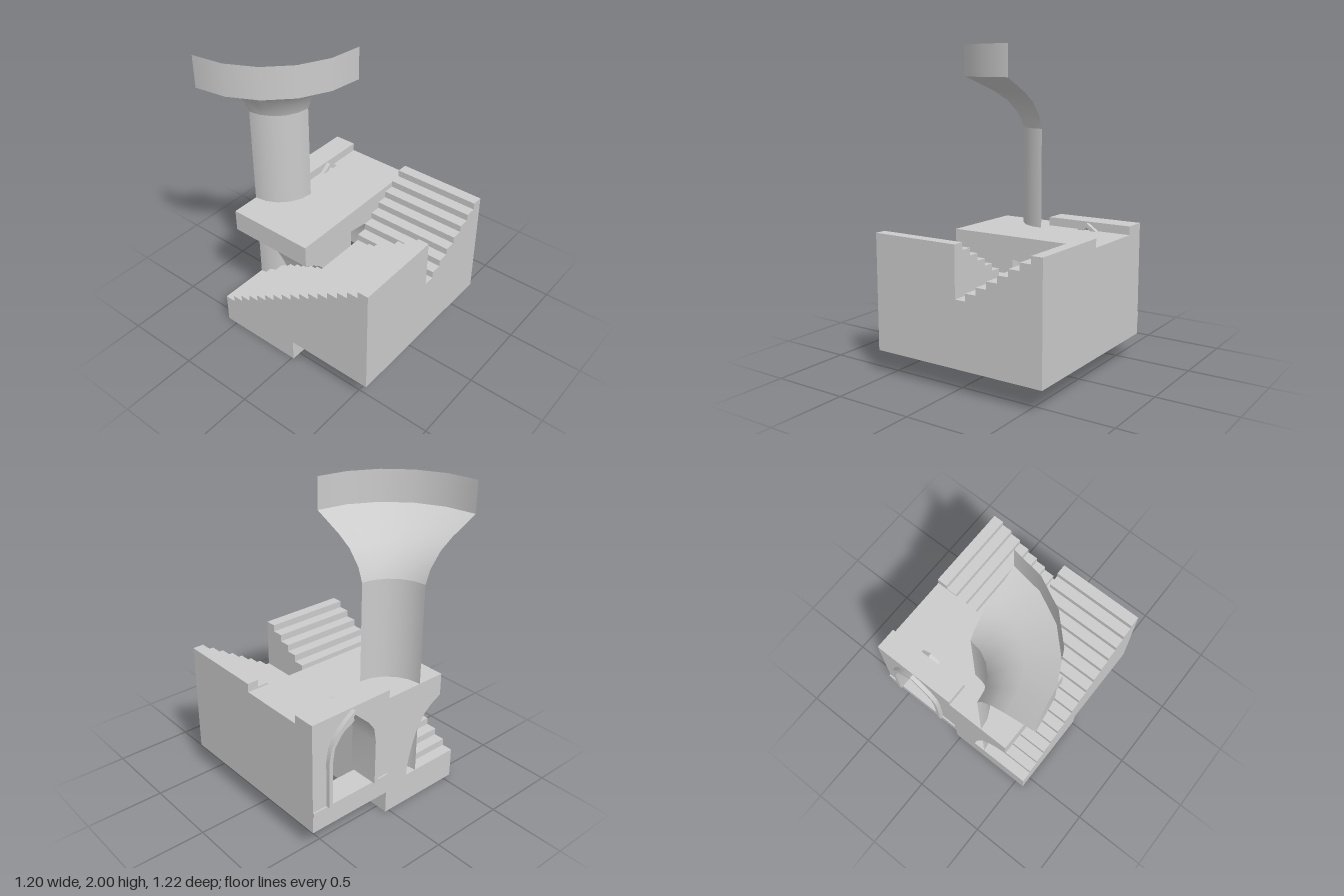
import * as THREE from 'three';
import { toCreasedNormals } from 'three/addons/utils/BufferGeometryUtils.js';

// Key planes of the block
const LEFT = -0.575, MID = 0.012, RIGHT = 0.6;
const BACK = -0.61, CENTRE = -0.028, FRONT = 0.562;
const UNDER = 0.15, FLOOR = 0.827, TOP = 0.882;
const RISE = 0.0455, WALL = 0.147;

export function createModel() {
  const model = new THREE.Group();
  const solid = new THREE.MeshStandardMaterial({ color: 0xcccccc });
  const thin = new THREE.MeshStandardMaterial({ color: 0xcccccc, side: THREE.DoubleSide });

  const add = (name, geometry, material = solid) => {
    const mesh = new THREE.Mesh(geometry, material);
    mesh.name = name;
    model.add(mesh);
    return mesh;
  };
  const extrude = (shape, depth) => new THREE.ExtrudeGeometry(shape, { depth, bevelEnabled: false });

  // Extrudes an outline of [z, y] points along x, with an optional hole
  const toPoints = (pts) => pts.map(([z, y]) => new THREE.Vector2(-z, y));
  const alongX = (name, pts, x0, x1, hole) => {
    const shape = new THREE.Shape(toPoints(pts));
    if (hole) shape.holes.push(new THREE.Path(toPoints(hole)));
    const geometry = extrude(shape, x1 - x0);
    geometry.rotateY(Math.PI / 2);
    geometry.translate(x0, 0, 0);
    return add(name, toCreasedNormals(geometry, 0.6));
  };
  const box = (name, x0, x1, y0, y1, z0, z1) =>
    add(name, new THREE.BoxGeometry(x1 - x0, y1 - y0, z1 - z0))
      .position.set((x0 + x1) / 2, (y0 + y1) / 2, (z0 + z1) / 2);

  // Stepped outline from a start to an end, rising one step per tread
  const steps = (start, end, y, count) => {
    const pts = [];
    const run = (end - start) / count;
    for (let i = 0; i < count; i++) {
      pts.push([start + run * i, y + RISE * i], [start + run * (i + 1), y + RISE * i]);
    }
    return pts;
  };

  // Front flight, climbing to the right, with its plinth below
  const outline = [[LEFT, 0], ...steps(LEFT, RIGHT, 0.2, 16), [RIGHT, UNDER], [MID, UNDER], [MID, 0]];
  const front = extrude(new THREE.Shape(outline.map((p) => new THREE.Vector2(...p))), FRONT - CENTRE);
  front.translate(0, 0, CENTRE);
  add('frontStairs', front);

  // Rear flight, climbing to the back
  alongX('backStairs', [[CENTRE, UNDER], ...steps(CENTRE, BACK, 0.2 + 8 * RISE, 8), [BACK, UNDER]], MID, RIGHT);

  // Overhanging landing carried on a curved cove
  alongX('landing', [
    [CENTRE, UNDER], [CENTRE, FLOOR], [0.412, FLOOR], [0.412, 0.68],
    [0.34, 0.642], [0.28, 0.595], [0.222, 0.51], [0.188, 0.42], [0.163, 0.33],
    [0.148, 0.26], [0.142, 0.19], [0.142, UNDER],
  ], LEFT, MID);

  // Room with a half barrel vault, open underneath
  const vault = [];
  const span = 0.43;
  for (let i = 0; i <= 5; i++) {
    const a = (i / 5) * Math.PI / 2;
    vault.push([CENTRE - span * Math.sin(a), 0.25 + span * Math.cos(a)]);
  }
  alongX('vaultedRoom', [[BACK, UNDER], [BACK, FLOOR], [CENTRE, FLOOR], ...vault, [CENTRE - span, UNDER]],
    LEFT + WALL, MID);

  // Pointed arch outline around the window's centre line
  const windowZ = -0.32;
  const arch = (inset) => {
    const side = [[0.19, 0.295], [0.19, 0.6], [0.175, 0.69], [0.13, 0.77], [0.065, 0.83]]
      .map(([w, y]) => [w - inset, y - (y > 0.75 ? inset * 0.7 : 0)]);
    return [
      ...side.map(([w, y]) => [windowZ + w, y]),
      [windowZ, 0.875 - inset],
      ...side.reverse().map(([w, y]) => [windowZ - w, y]),
    ];
  };

  // Side wall with parapet and window opening, and the frame running through it
  alongX('windowWall', [[BACK, UNDER], [BACK, TOP], [CENTRE, TOP], [CENTRE, UNDER]], LEFT, LEFT + WALL, arch(0.012));
  const inner = arch(0.026);
  alongX('windowFrame', [...arch(0), ...inner.reverse()], LEFT - 0.028, LEFT + WALL + 0.028);

  // Sill courses on both faces of the wall
  box('outerSill', LEFT - 0.01, LEFT, 0.265, 0.295, BACK, CENTRE);
  box('innerSill', LEFT + WALL, LEFT + WALL + 0.01, 0.265, 0.295, CENTRE - span, CENTRE);

  // Quarter column: shaft with flared capital, then an upright rim
  const quarter = (name, pts) => {
    const geometry = new THREE.LatheGeometry(pts.map((p) => new THREE.Vector2(...p)), 5, 0, Math.PI / 2);
    add(name, geometry, thin).position.set(LEFT, 0, CENTRE);
  };
  quarter('columnShaft', [[0.252, 0.19], [0.252, 1.47]]);
  quarter('columnFlare', [[0.252, 1.47], [0.285, 1.555], [0.36, 1.645], [0.45, 1.705], [0.64, 1.8]]);
  quarter('columnRim', [[0.64, 1.8], [0.64, 2]]);

  return model;
}
